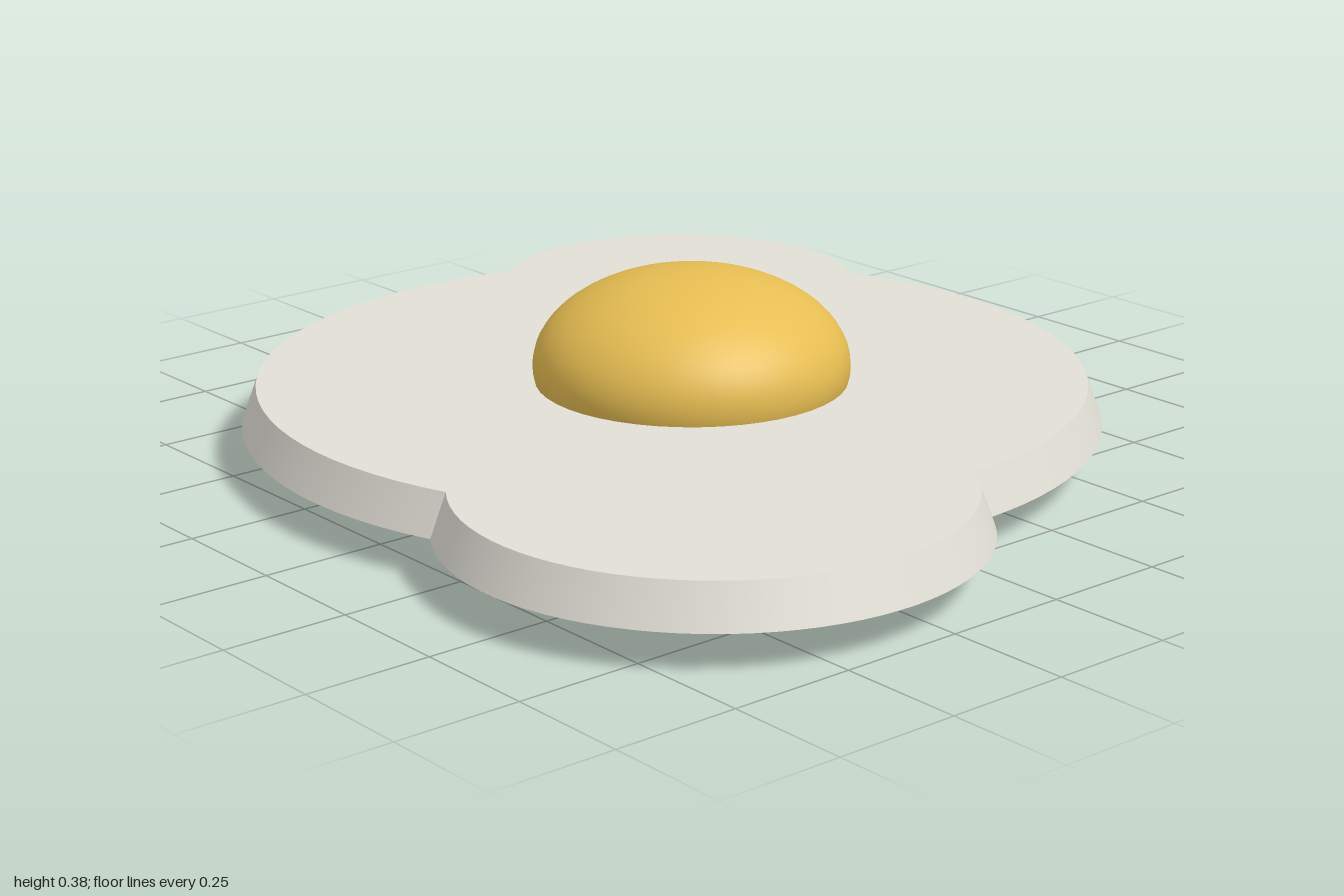
import * as THREE from 'three';

const BOTTOM = 0.077, TOP = 0.16, INSET = 0.03;
const main = { x: -0.08, z: -0.02, r: 0.855 };
const lobes = [
  { x: 0.49, z: 0.36, r: 0.51 },    // front lobe
  { x: -0.59, z: -0.465, r: 0.41 }, // back lobe
];

// Points along an arc of a circle, in the ground plane
function arc(c, r, from, to, steps) {
  return Array.from({ length: steps + 1 }, (_, i) => {
    const a = from + (to - from) * i / steps;
    return [c.x + r * Math.cos(a), c.z + r * Math.sin(a)];
  });
}

// Outer outline of the three merged circles, as four arcs
function outline(inset) {
  const R = main.r - inset;
  const cuts = lobes.map((l) => {
    const dx = l.x - main.x, dz = l.z - main.z, d = Math.hypot(dx, dz), r = l.r - inset;
    let dir = Math.atan2(dz, dx);
    if (dir < 0) dir += 2 * Math.PI;
    return {
      l, r, dir,
      half: Math.acos((R * R + d * d - r * r) / (2 * R * d)),
      sweep: Math.PI - Math.acos((r * r + d * d - R * R) / (2 * r * d)),
    };
  });
  return cuts.flatMap((c, i) => {
    const next = cuts[(i + 1) % 2];
    const end = next.dir - next.half + (i === 1 ? 2 * Math.PI : 0);
    return [
      arc(c.l, c.r, c.dir - c.sweep, c.dir + c.sweep, 40),
      arc(main, R, c.dir + c.half, end, 32),
    ];
  });
}

function geometry(positions, index) {
  const g = new THREE.BufferGeometry();
  g.setAttribute('position', new THREE.Float32BufferAttribute(positions, 3));
  g.setIndex(index);
  g.computeVertexNormals();
  return g;
}

// Sloping wall between a lower and an upper arc
function wall(low, high) {
  const pos = [], idx = [];
  low.forEach(([x, z], i) => {
    pos.push(x, BOTTOM, z, high[i][0], TOP, high[i][1]);
    const a = 2 * i;
    if (i < low.length - 1) idx.push(a, a + 1, a + 2, a + 1, a + 3, a + 2);
  });
  return geometry(pos, idx);
}

// Flat cap fanned out from the main circle's centre
function cap(arcs, y, up) {
  const pts = arcs.flat(), pos = [main.x, y, main.z], idx = [];
  pts.forEach(([x, z], i) => {
    pos.push(x, y, z);
    const a = i + 1, b = (i + 1) % pts.length + 1;
    idx.push(0, up ? b : a, up ? a : b);
  });
  return geometry(pos, idx);
}

export function createModel() {
  const model = new THREE.Group();
  model.name = 'friedEgg';
  const white = new THREE.MeshStandardMaterial({ color: 0xe2dfd6 });
  white.name = 'eggWhite';
  const gold = new THREE.MeshStandardMaterial({ color: 0xe6bd52 });
  gold.name = 'yolkYellow';

  const add = (parent, name, geo, mat) => {
    const mesh = new THREE.Mesh(geo, mat);
    mesh.name = name;
    parent.add(mesh);
    return mesh;
  };

  // Egg white: a lobed slab with a sloping rim
  const slab = new THREE.Group();
  slab.name = 'eggWhite';
  model.add(slab);
  const low = outline(0), high = outline(INSET);
  low.forEach((a, i) => add(slab, 'rim' + (i + 1), wall(a, high[i]), white));
  add(slab, 'topFace', cap(high, TOP, true), white);
  add(slab, 'underside', cap(low, BOTTOM, false), white);

  // Yolk: a flattened ball that passes through the white
  const yolk = add(model, 'yolk', new THREE.SphereGeometry(0.315, 48, 32), gold);
  yolk.scale.y = 0.191 / 0.315;
  yolk.position.set(-0.02, 0.191, -0.02);

  return model;
}
